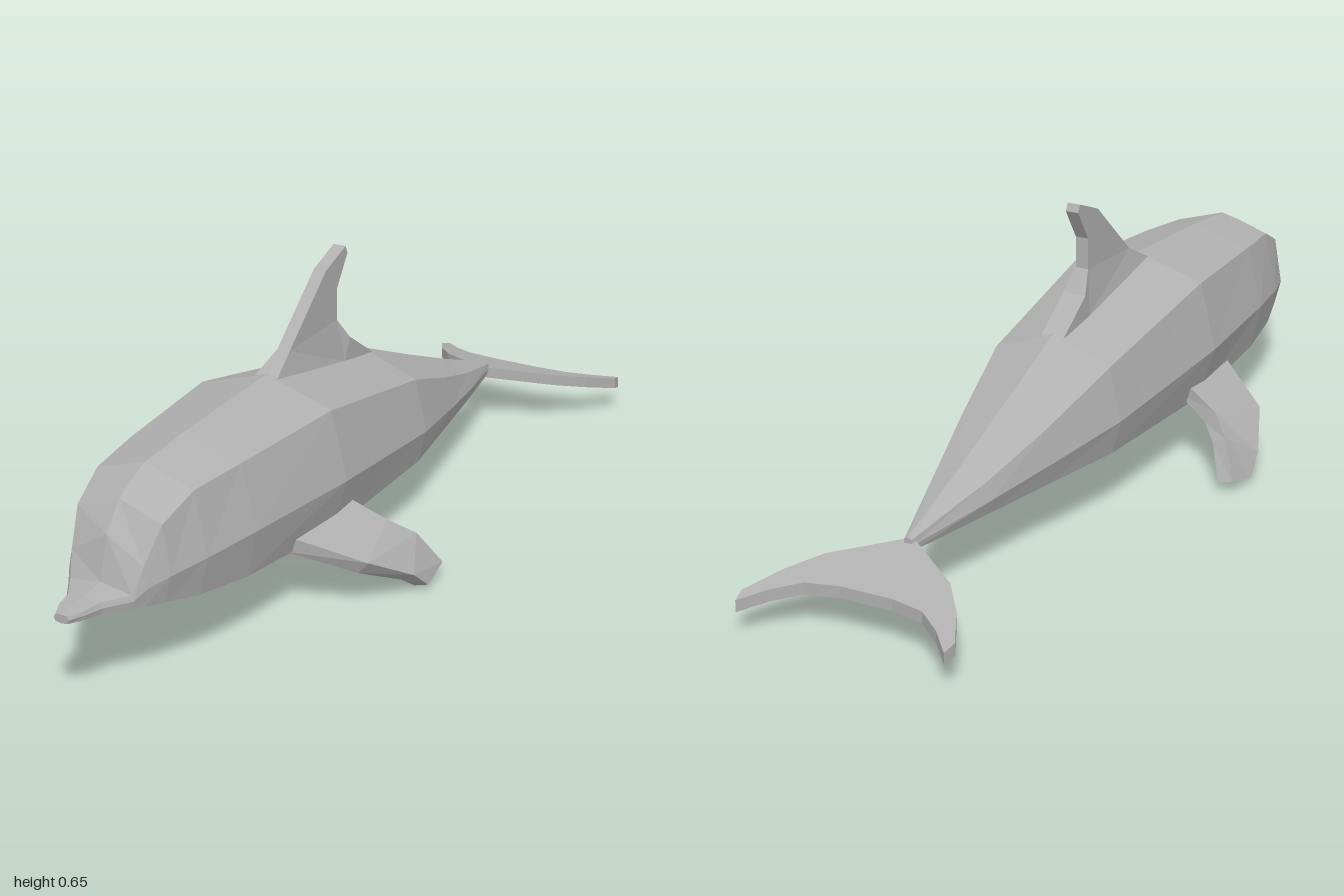
import * as THREE from 'three';

// Skin a row of equal-length rings of [x, y, z], closing both ends.
function loft(rings) {
  const n = rings[0].length, last = (rings.length - 1) * n, index = [];
  for (let i = 0; i < rings.length - 1; i++) {
    for (let j = 0; j < n; j++) {
      const a = i * n + j, b = i * n + (j + 1) % n;
      index.push(a, b, a + n, b, b + n, a + n);
    }
  }
  for (let j = 1; j < n - 1; j++) {
    index.push(0, j + 1, j, last, last + j, last + j + 1);
  }
  const g = new THREE.BufferGeometry();
  g.setAttribute('position', new THREE.Float32BufferAttribute(rings.flat(2), 3));
  g.setIndex(index);
  const flat = g.toNonIndexed();
  flat.computeVertexNormals();
  return flat;
}

// Extrude a closed outline, centred on its own plane.
function slab(points, depth) {
  const shape = new THREE.Shape(points.map(([x, y]) => new THREE.Vector2(x, y)));
  const g = new THREE.ExtrudeGeometry(shape, { depth, bevelEnabled: false });
  return g.translate(0, 0, -depth / 2);
}

// Move every vertex by a rule.
function reshape(g, rule) {
  const p = g.attributes.position;
  for (let i = 0; i < p.count; i++) p.setXYZ(i, ...rule(p.getX(i), p.getY(i), p.getZ(i)));
  g.computeVertexNormals();
  return g;
}

export function createModel() {
  const skin = new THREE.MeshStandardMaterial({ color: 0xb0b0b0, flatShading: true });
  skin.name = 'grey skin';
  const model = new THREE.Group();
  model.name = 'dolphin';
  const add = (name, geometry) => {
    const mesh = new THREE.Mesh(geometry, skin);
    mesh.name = name;
    model.add(mesh);
  };

  // Body and beak: z, top y, upper x y, middle x y, lower x y, bottom y
  const sections = [
    [1.0, 0.213, 0.014, 0.212, 0.018, 0.204, 0.014, 0.196, 0.194],
    [0.965, 0.217, 0.03, 0.214, 0.033, 0.205, 0.03, 0.194, 0.188],
    [0.925, 0.22, 0.038, 0.216, 0.043, 0.205, 0.04, 0.192, 0.18],
    [0.87, 0.229, 0.073, 0.217, 0.078, 0.205, 0.074, 0.188, 0.165],
    [0.845, 0.32, 0.085, 0.27, 0.093, 0.225, 0.085, 0.185, 0.155],
    [0.8, 0.38, 0.1, 0.345, 0.118, 0.24, 0.102, 0.18, 0.14],
    [0.71, 0.423, 0.115, 0.388, 0.145, 0.25, 0.125, 0.165, 0.117],
    [0.57, 0.438, 0.133, 0.397, 0.17, 0.258, 0.145, 0.152, 0.098],
    [0.26, 0.458, 0.16, 0.41, 0.197, 0.258, 0.16, 0.137, 0.076],
    [-0.14, 0.39, 0.138, 0.34, 0.166, 0.222, 0.145, 0.145, 0.08],
    [-0.35, 0.305, 0.1, 0.268, 0.117, 0.195, 0.1, 0.142, 0.098],
    [-0.53, 0.235, 0.06, 0.21, 0.072, 0.172, 0.06, 0.138, 0.11],
    [-0.74, 0.16, 0.008, 0.155, 0.01, 0.143, 0.008, 0.13, 0.125],
  ];
  add('body', loft(sections.map(([z, top, ux, uy, mx, my, lx, ly, bottom]) => [
    [0, top, z], [ux, uy, z], [mx, my, z], [lx, ly, z],
    [0, bottom, z], [-lx, ly, z], [-mx, my, z], [-ux, uy, z],
  ])));

  // Dorsal fin, outlined in z and y, with a flared base
  const fin = slab([
    [0.26, 0.452], [-0.02, 0.4], [-0.14, 0.385], [-0.04, 0.452], [-0.005, 0.5],
    [-0.005, 0.57], [-0.05, 0.64], [-0.042, 0.657], [0.04, 0.625], [0.19, 0.49],
  ], 0.03);
  add('dorsalFin', reshape(fin, (z, y, x) => [-x * (y < 0.46 ? 1.8 : 1), y, z]));

  // Tail flukes, outlined in x and distance behind the centre, sloping down backwards
  const half = [[0.015, 0.73], [0.145, 0.82], [0.2, 0.89], [0.243, 0.968],
    [0.237, 1.0], [0.19, 0.95], [0.135, 0.91], [0.06, 0.897]];
  const outline = [...half, ...half.map(([x, d]) => [-x, d]).reverse()];
  add('tailFlukes', reshape(slab(outline, 0.026),
    (x, d, t) => [x, 0.139 - 0.26 * (d - 0.72) + t, -d]));

  // Flippers: leading edge, trailing edge, and half thickness in x and y
  const stations = [
    [[0.14, 0.165, 0.42], [0.14, 0.18, 0.2], [0.004, 0.018]],
    [[0.272, 0.1, 0.32], [0.23, 0.133, 0.17], [0.012, 0.014]],
    [[0.316, 0.045, 0.21], [0.275, 0.1, 0.125], [0.015, 0.009]],
    [[0.322, 0.008, 0.16], [0.312, 0.026, 0.078], [0.017, 0.005]],
  ];
  for (const side of [1, -1]) {
    const rings = stations.map(([lead, trail, [tx, ty]]) => {
      const corner = ([x, y, z], s) => [side * (x + s * tx), y + s * ty, z];
      const ring = [corner(trail, 1), corner(lead, 1), corner(lead, -1), corner(trail, -1)];
      return side > 0 ? ring : ring.reverse();
    });
    add(side > 0 ? 'leftFlipper' : 'rightFlipper', loft(rings));
  }
  return model;
}
